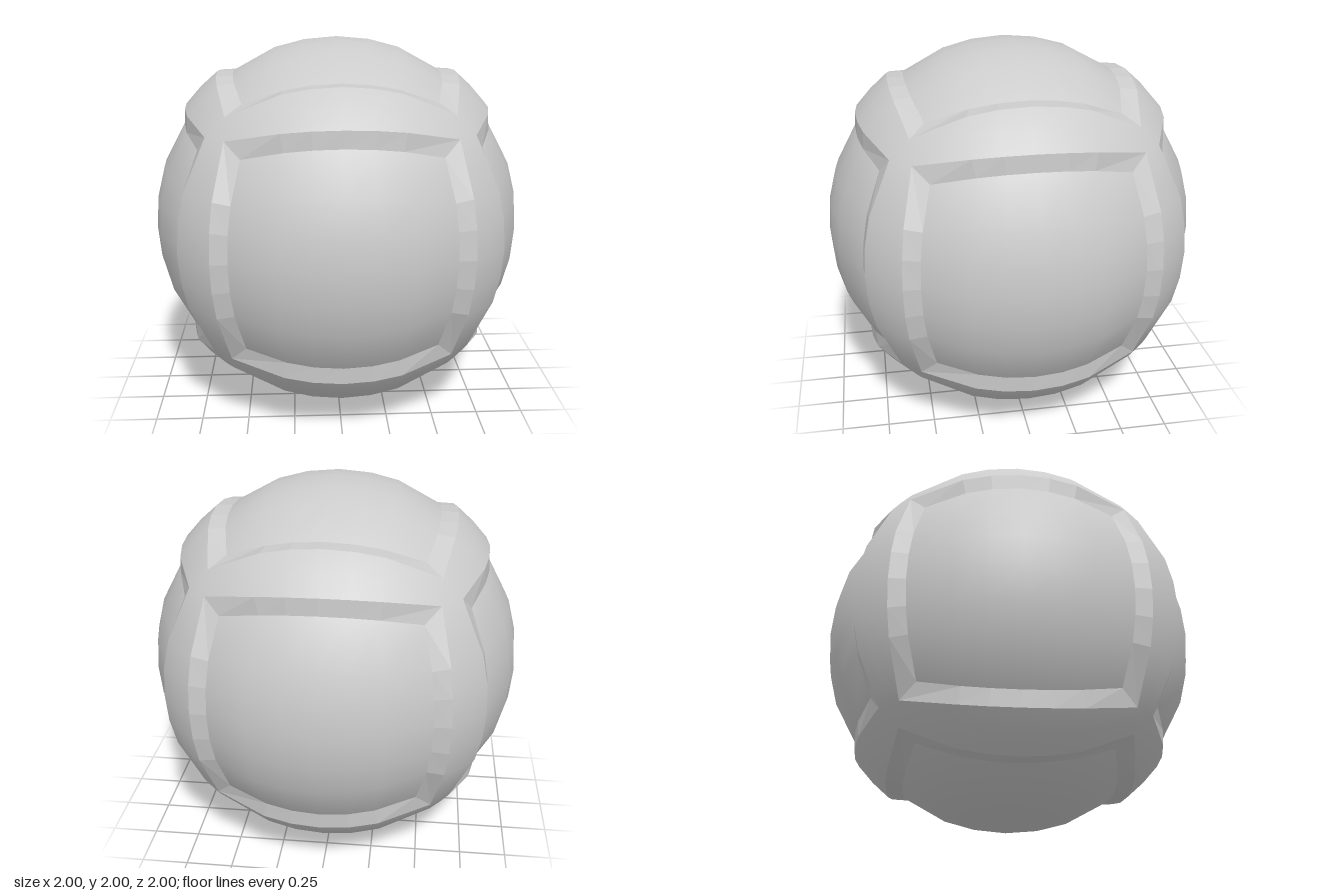
import * as THREE from 'three';

const BAND_R = 1.04;
const STEPS = [0, 0.176, 0.354]; // tangents of the inner grid lines
const material = new THREE.MeshStandardMaterial({ color: 0xcccccc });

// Point of the +z cube face pushed onto a sphere; i and j run from -3 to 3
function facePoint(i, j, border, bulge, radius) {
  const t = (n) => Math.sign(n) * (Math.abs(n) === 3 ? border : STEPS[Math.abs(n)]);
  const u = t(i), v = t(j);
  return new THREE.Vector3(u * (1 + bulge * v * v), v * (1 + bulge * u * u), 1).setLength(radius);
}

const rim = (i) => facePoint(i, 3, 0.787, 0.13, BAND_R);
const panelPoint = (i, j) => {
  const edge = Math.abs(i) === 3 || Math.abs(j) === 3;
  return facePoint(i, j, 0.677, 0.02, edge ? 0.992 : 1);
};
// Middle of the band, where neighbouring faces meet
const seam = (i) => {
  const p = rim(i), m = (p.y + p.z) / 2;
  return new THREE.Vector3(p.x, m, m).setLength(BAND_R);
};

// Collects triangles, turning each one outwards
function surface() {
  const list = [];
  const tri = (a, b, c) => {
    const n = b.clone().sub(a).cross(c.clone().sub(a));
    const out = n.dot(a.clone().add(b).add(c)) > 0;
    for (const p of out ? [a, b, c] : [a, c, b]) list.push(p.x, p.y, p.z);
  };
  const quad = (a, b, c, d) => { tri(a, b, c); tri(a, c, d); };
  const build = (round) => {
    const g = new THREE.BufferGeometry();
    g.setAttribute('position', new THREE.Float32BufferAttribute(list, 3));
    if (round) {
      // Smooth parts take their normals from the ball's centre
      g.setAttribute('normal', g.attributes.position.clone());
      g.normalizeNormals();
    } else g.computeVertexNormals();
    return g;
  };
  return { tri, quad, build };
}

export function createModel() {
  const model = new THREE.Group();
  model.name = 'panelledBall';

  const panel = surface(), wall = surface(), band = surface();

  // Domed panel
  for (let i = -3; i < 3; i++)
    for (let j = -3; j < 3; j++)
      panel.quad(panelPoint(i, j), panelPoint(i + 1, j), panelPoint(i + 1, j + 1), panelPoint(i, j + 1));

  // Sloped wall and half a raised band on each of the four sides
  const axis = new THREE.Vector3(0, 0, 1);
  for (let side = 0; side < 4; side++) {
    const turn = (p) => p.applyAxisAngle(axis, side * Math.PI / 2);
    for (let i = -3; i < 3; i++) {
      wall.quad(turn(panelPoint(i, 3)), turn(panelPoint(i + 1, 3)), turn(rim(i + 1)), turn(rim(i)));
      band.quad(turn(rim(i)), turn(rim(i + 1)), turn(seam(i + 1)), turn(seam(i)));
    }
    // Share of the corner where three bands join
    for (const s of [-1, 1]) {
      const corner = new THREE.Vector3(s, 1, 1).setLength(BAND_R);
      band.tri(turn(rim(3 * s)), turn(seam(3 * s)), turn(corner));
    }
  }

  const parts = [
    ['panel', panel.build(true)],
    ['slopedWall', wall.build(false)],
    ['raisedBand', band.build(true)],
  ];

  // Six equal faces
  const q = Math.PI / 2;
  const faces = {
    front: [0, 0], left: [0, q], back: [0, 2 * q], right: [0, -q], top: [-q, 0], bottom: [q, 0],
  };
  for (const [name, [rx, ry]] of Object.entries(faces)) {
    const face = new THREE.Group();
    face.name = name + 'Face';
    for (const [partName, geometry] of parts) {
      const mesh = new THREE.Mesh(geometry, material);
      mesh.name = partName;
      face.add(mesh);
    }
    face.rotation.set(rx, ry, 0);
    face.position.y = 1;
    model.add(face);
  }
  return model;
}
